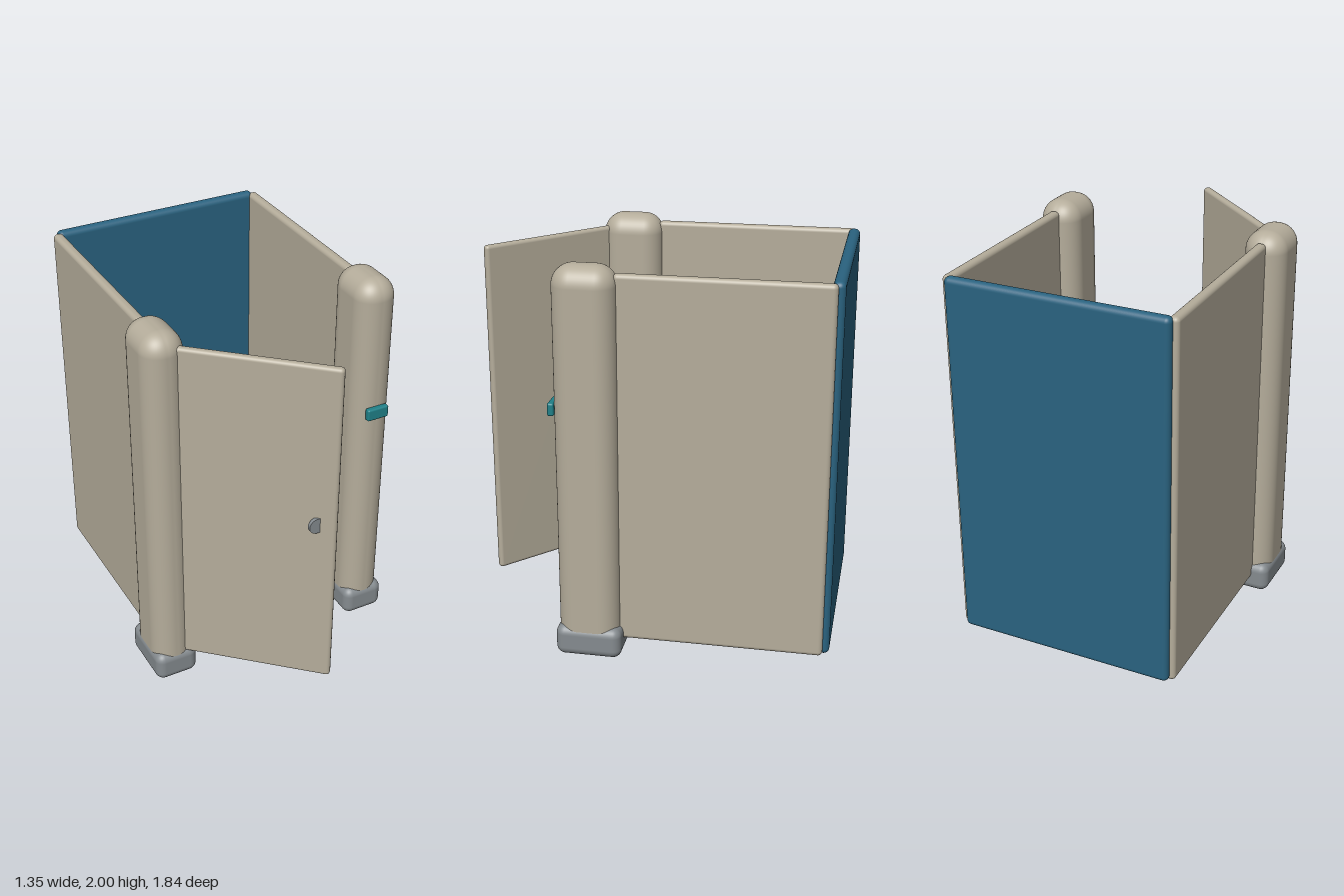
import * as THREE from 'three';
import { RoundedBoxGeometry } from 'three/addons/geometries/RoundedBoxGeometry.js';

const mat = (color) => new THREE.MeshStandardMaterial({ color });

export function createModel() {
  const group = new THREE.Group();
  const beige = mat(0xb5ad9b), blue = mat(0x2a6380), grey = mat(0x858b8f);
  const teal = mat(0x1f8088), paper = mat(0xcccccc), dark = mat(0x3c4246);

  const add = (name, geometry, material, x, y, z) => {
    const mesh = new THREE.Mesh(geometry, material);
    mesh.name = name;
    mesh.position.set(x, y, z);
    group.add(mesh);
    return mesh;
  };
  // Rounded box given by its extents on each axis
  const block = (name, material, [x0, x1], [y0, y1], [z0, z1], radius, segments = 4) =>
    add(name, new RoundedBoxGeometry(x1 - x0, y1 - y0, z1 - z0, segments, radius), material,
      (x0 + x1) / 2, (y0 + y1) / 2, (z0 + z1) / 2);

  // Posts, feet and side walls, mirrored
  for (const [side, s] of [['left', 1], ['right', -1]]) {
    const across = (half) => [s * 0.562 - half, s * 0.562 + half];
    block(side + 'Post', beige, across(0.107), [0.03, 2], [0.12, 0.43], 0.1, 6);
    block(side + 'Foot', grey, across(0.113), [0, 0.16], [0.105, 0.437], 0.045);
    block(side + 'Wall', beige, across(0.026), [0.08, 1.96], [-0.89, 0.14], 0.022);
  }
  block('backWall', blue, [-0.562, 0.562], [0.08, 1.965], [-0.922, -0.862], 0.027);

  // Door standing open on the right post
  const hinge = new THREE.Vector2(-0.53, 0.38), edge = new THREE.Vector2(0.056, 0.913);
  const span = edge.clone().sub(hinge);
  const door = add('door', new RoundedBoxGeometry(span.length(), 1.79, 0.042, 4, 0.018), beige,
    (hinge.x + edge.x) / 2, 1.04, (hinge.y + edge.y) / 2);
  door.rotation.y = -Math.atan2(span.y, span.x);

  // Half-round door handle
  const half = new THREE.Shape();
  half.absarc(0, 0, 0.04, Math.PI / 2, Math.PI * 1.5, false);
  half.lineTo(0.018, -0.04);
  half.lineTo(0.018, 0.04);
  half.closePath();
  add('doorHandle', new THREE.ExtrudeGeometry(half, { depth: 0.018, bevelEnabled: false, curveSegments: 20 }),
    grey, -0.032, 1.083, 0.858);

  // Indicator on the left post
  block('indicator', teal, [0.5, 0.62], [1.26, 1.325], [0.425, 0.458], 0.01);

  // Paper roll with its spindle and hanging sheet
  const roll = add('paperRoll', new THREE.CylinderGeometry(0.085, 0.085, 0.115, 32), paper, 0.484, 0.725, -0.455);
  roll.rotation.z = Math.PI / 2;
  const spindle = add('rollSpindle', new THREE.CylinderGeometry(0.024, 0.024, 0.13, 20), dark, 0.478, 0.725, -0.455);
  spindle.rotation.z = Math.PI / 2;
  add('paperSheet', new THREE.BoxGeometry(0.12, 0.157, 0.006), paper, 0.46, 0.642, -0.37);

  return group;
}
